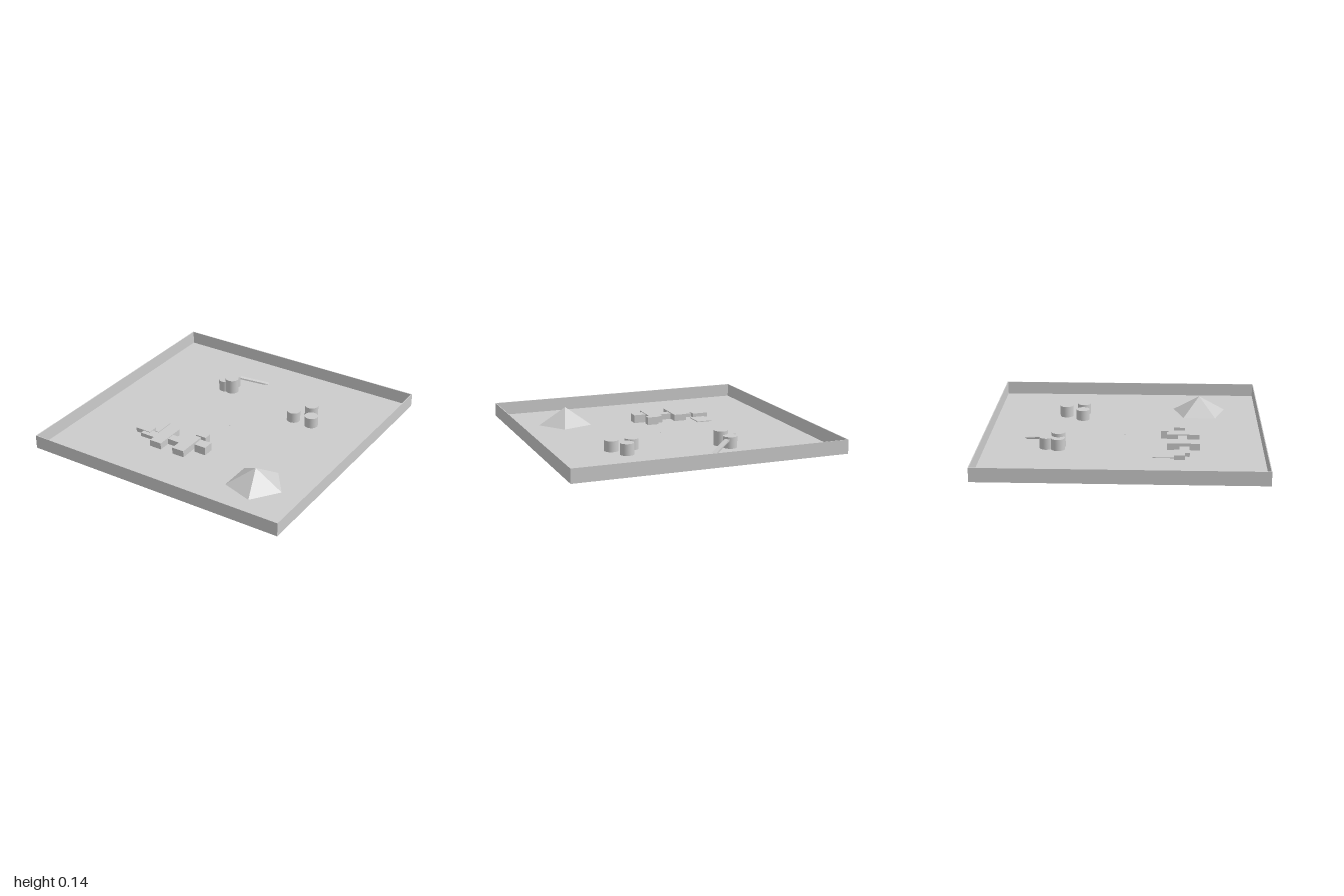
import * as THREE from 'three';

export function createModel() {
  const model = new THREE.Group();
  const mat = new THREE.MeshStandardMaterial({ color: 0xcccccc });
  const flat = new THREE.MeshStandardMaterial({ color: 0xcccccc, flatShading: true });

  const add = (name, geometry, x, y, z, material = mat) => {
    const mesh = new THREE.Mesh(geometry, material);
    mesh.name = name;
    mesh.position.set(x, y, z);
    model.add(mesh);
    return mesh;
  };
  // Box given by its limits on each axis
  const box = (name, x0, x1, y0, y1, z0, z1) =>
    add(name, new THREE.BoxGeometry(x1 - x0, y1 - y0, z1 - z0),
      (x0 + x1) / 2, (y0 + y1) / 2, (z0 + z1) / 2);
  const FLOOR = 0.017;

  // Square yard with thin walls
  box('floor', -1, 1, 0.014, FLOOR, -1, 1);
  const t = 0.006;
  for (const s of [-1, 1]) {
    const a = Math.min(s, s * (1 - t)), b = Math.max(s, s * (1 - t));
    box('sideWall', a, b, 0.014, 0.115, -1, 1);
    box('endWall', -1 + t, 1 - t, 0.014, 0.115, a, b);
  }
  box('centreMarker', -0.004, 0.004, 0.009, 0.02, -0.004, 0.004);

  // Five-sided pyramid
  const cone = new THREE.ConeGeometry(0.21, 0.127, 5, 1);
  cone.rotateY(Math.PI / 2);
  add('pyramid', cone, 0.565, 0.0785, 0.555, flat);

  // Two clusters of round towers: x, z, top
  const towers = [
    [0.43, -0.465, 0.1], [0.35, -0.335, 0.095], [0.5, -0.335, 0.095],
    [-0.275, -0.465, 0.125], [-0.335, -0.465, 0.1], [-0.31, -0.55, 0.1],
  ];
  for (const [x, z, top] of towers) {
    const h = top - 0.0145;
    add('tower', new THREE.CylinderGeometry(0.05, 0.05, h, 32), x, top - h / 2, z);
  }

  // Sloping beam from the tower down through the floor
  const start = new THREE.Vector3(-0.3, 0.09, -0.56);
  const end = new THREE.Vector3(-0.093, 0.011, -0.717);
  const beam = add('slopingBeam',
    new THREE.BoxGeometry(0.036, 0.012, start.distanceTo(end)), 0, 0, 0);
  beam.position.lerpVectors(start, end, 0.5);
  beam.lookAt(end);

  // Building complex: an H-shaped hall with annexes
  box('hallWing', -0.33, -0.235, 0.01, 0.066, 0.31, 0.545);
  box('hallWing', -0.135, -0.04, 0.0145, 0.066, 0.31, 0.545);
  box('hallCrossbar', -0.235, -0.135, 0.0145, 0.06, 0.39, 0.455);
  box('backAnnex', -0.085, 0, 0.0145, 0.075, 0.265, 0.32);
  box('leftAnnex', -0.015, 0.075, 0.003, 0.078, 0.36, 0.44);
  box('connector', -0.465, -0.33, 0.0145, 0.045, 0.4, 0.47);
  box('rightAnnex', -0.53, -0.41, 0.0145, 0.05, 0.36, 0.435);

  // Low slab behind the right annex
  box('lowSlab', -0.5, -0.385, 0.0145, 0.023, 0.21, 0.365);

  return model;
}
